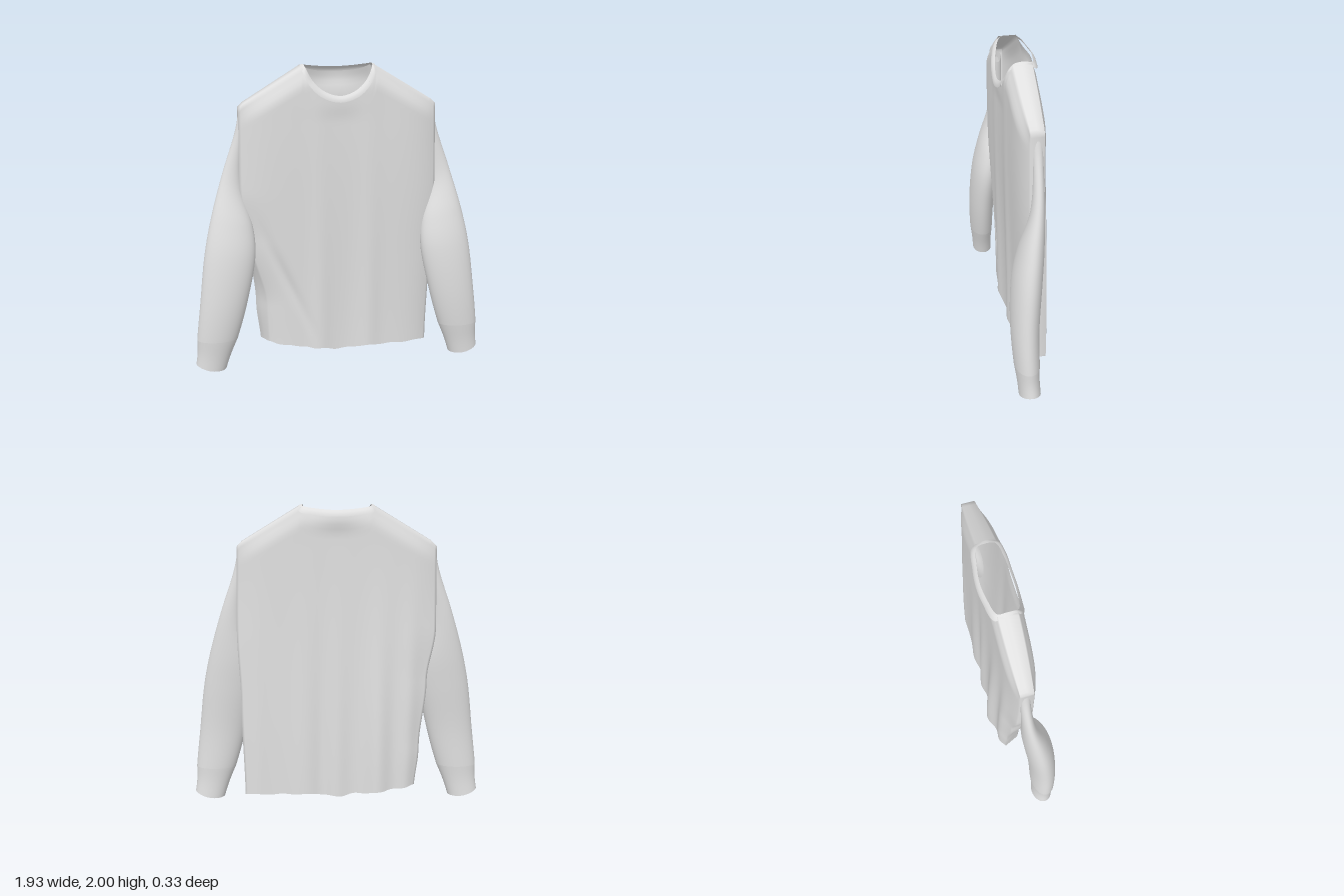
import * as THREE from 'three';
import { mergeGeometries, mergeVertices } from 'three/addons/utils/BufferGeometryUtils.js';

const V = (x, y, z) => new THREE.Vector3(x, y, z);
const { lerp, smoothstep, clamp } = THREE.MathUtils;
const bump = (x, c, w) => Math.exp(-(((x - c) / w) ** 2));

// Grid surface: f(s, t) with s, t in 0..1; the front faces along ds x dt
function grid(ns, nt, f) {
  const pos = [], idx = [];
  for (let j = 0; j <= nt; j++)
    for (let i = 0; i <= ns; i++) pos.push(...f(i / ns, j / nt).toArray());
  for (let j = 0; j < nt; j++)
    for (let i = 0; i < ns; i++) {
      const a = j * (ns + 1) + i, b = a + 1, c = a + ns + 1, d = c + 1;
      idx.push(a, b, d, a, d, c);
    }
  const g = new THREE.BufferGeometry();
  g.setAttribute('position', new THREE.Float32BufferAttribute(pos, 3));
  g.setIndex(idx);
  return g;
}

function weld(parts) {
  const g = mergeVertices(mergeGeometries(parts), 1e-4);
  g.computeVertexNormals();
  return g;
}

// Piecewise smooth lookup through [key, value] pairs
function lookup(table, k) {
  for (let i = 1; i < table.length; i++) {
    const [k0, v0] = table[i - 1], [k1, v1] = table[i];
    if (k <= k1) return lerp(v0, v1, smoothstep(k, k0, k1));
  }
  return table[table.length - 1][1];
}

const HALF = 0.64, NECK = 0.235, NU = NECK / HALF;
const leftWidth = [[0.08, 0.615], [0.7, 0.63], [1.2, 0.65], [1.74, 0.64]];
const rightFrontWidth = [[0.08, 0.475], [0.4, 0.485], [0.85, 0.58], [1.2, 0.645], [1.74, 0.64]];
const rightBackWidth = [[0.08, 0.515], [0.4, 0.545], [0.85, 0.59], [1.2, 0.645], [1.74, 0.64]];
const hemLine = [[-0.64, 0.14], [-0.45, 0.12], [-0.2, 0.095], [0, 0.075], [0.2, 0.09], [0.64, 0.085]];

// Columns are placed so that one falls exactly on each end of the neckline
function column(s) {
  const c = s * 2 - 1, a = Math.abs(c), n = 16 / 44;
  return Math.sign(c) * (a <= n ? (a / n) * NU : NU + ((a - n) / (1 - n)) * (1 - NU));
}
const shoulderY = x => 2 - 0.255 * clamp((Math.abs(x) - 0.22) / 0.42, 0, 1)
  - 0.012 * smoothstep(Math.abs(x), 0.61, 0.64);

// One point on the front (side = 1) or back (side = -1) panel
function panel(side, u, t) {
  const xt = u * HALF, n = Math.abs(xt) / NECK;
  let top = shoulderY(xt);
  if (n < 0.999) top = side > 0 ? 1.775 + 0.21 * n ** 2.6 : 1.942 + 0.045 * n ** 3;
  const hem = lookup(hemLine, xt) + 0.003 * Math.sin(xt * 37) - (side < 0 ? 0.008 : 0);
  const y = lerp(hem, top, t);
  const x = u * lookup(u > 0 ? leftWidth : side > 0 ? rightFrontWidth : rightBackWidth, y);
  const low = 1 - smoothstep(y, 0.1, 1.6);
  const fold = 1 - smoothstep(y, 0.2, 1.75);
  const k = (1 - Math.abs(u) ** 6) * smoothstep(shoulderY(xt) - y, -0.03, 0.13);
  // the edges draw together towards the shoulder point
  const pinch = smoothstep(Math.abs(xt), 0.25, 0.64) * smoothstep(y, 0.9, 1.5);
  const flare = bump(xt, 0, 0.14);
  if (side > 0) {
    const folds = 0.014 * bump(x, -0.13, 0.07) + 0.014 * bump(x, 0.2, 0.07) - 0.004 * bump(x, 0.05, 0.07);
    const crease = 0.018 * bump(x, -0.47 + (0.85 - y) * 0.45, 0.035) * bump(y, 0.6, 0.3);
    const edge = lerp(0.04, 0, low) - 0.012 * pinch;
    const full = 0.089 - 0.027 * low + folds * (0.3 + low) - crease;
    return V(x, y, lerp(edge, full, k) + 0.01 * flare * smoothstep(y, 1.64, 1.77));
  }
  const folds = 0.05 * bump(x, -0.48, 0.07) + 0.05 * bump(x, -0.27, 0.085) + 0.022 * bump(x, 0, 0.07)
    + 0.016 * bump(x, 0.22, 0.08) + 0.015 * bump(x, 0.54, 0.06) - 0.01 * bump(x, 0.1, 0.05);
  const edge = lerp(-0.065, -0.095, low) + 0.01 * pinch;
  const full = -0.1 - 0.015 * low - folds * fold;
  return V(x, y, lerp(edge, full, k) - 0.024 * flare * smoothstep(y, 1.8, 1.945));
}

function bodyGeometry() {
  const between = (u, t, f) => panel(1, u, t).lerp(panel(-1, u, t), f);
  const strip = (s0, s1) => grid(28, 2, (s, f) => between(column(lerp(s0, s1, s)), 1, f));
  const nl = 14 / 44;
  return weld([
    grid(88, 60, (s, t) => panel(1, column(s), t)),
    grid(88, 60, (s, t) => panel(-1, column(1 - s), t)),
    grid(2, 60, (f, t) => between(1, t, f)),
    grid(2, 60, (f, t) => between(-1, t, 1 - f)),
    // shoulder seams
    strip(0, nl), strip(1 - nl, 1),
  ]);
}

// Sleeve and cuff: rings spanned by an outer/front and an inner/back guide curve
const outer = new THREE.CatmullRomCurve3([
  V(0.632, 1.728, 0.012), V(0.662, 1.58, 0.012), V(0.752, 1.31, 0.035), V(0.835, 1.03, 0.11), V(0.885, 0.8, 0.152),
  V(0.925, 0.48, 0.17), V(0.955, 0.22, 0.16), V(0.967, 0.045, 0.138)]);
const inner = new THREE.CatmullRomCurve3([
  V(0.6, 1.66, -0.045), V(0.625, 1.45, -0.05), V(0.625, 1.2, -0.05), V(0.565, 0.96, -0.045), V(0.556, 0.78, -0.03),
  V(0.61, 0.5, -0.005), V(0.688, 0.22, 0.0), V(0.768, 0.006, 0.0)]);
function sleevePoint(sx, s, t, squeeze = 0, droop = 0) {
  const a = s * Math.PI * 2 * sx, o = outer.getPoint(t), i = inner.getPoint(t);
  const c = Math.cos(a) * (1 - squeeze), n = Math.sin(a) * (1 - squeeze);
  return V(sx * ((o.x + i.x) / 2 + ((o.x - i.x) / 2) * c),
    (o.y + i.y) / 2 + ((o.y - i.y) / 2) * c - droop * n * n,
    (o.z + i.z) / 2 + ((o.z - i.z) / 2) * n);
}

// Collar: a ribbon between two closed loops, given by their left halves
function loop(half) {
  const right = half.slice(1, -1).reverse().map(p => V(-p.x, p.y, p.z));
  return new THREE.CatmullRomCurve3([...half, ...right], true);
}
function collarGeometry() {
  const rim = loop([V(0, 1.808, 0.1), V(0.1, 1.838, 0.092), V(0.17, 1.9, 0.076), V(0.215, 1.985, 0.042),
    V(0.22, 2, -0.015), V(0.212, 1.99, -0.07), V(0.1, 1.975, -0.1), V(0, 1.97, -0.11)]);
  const base = loop([V(0, 1.768, 0.12), V(0.115, 1.8, 0.113), V(0.19, 1.868, 0.1), V(0.234, 1.955, 0.066),
    V(0.242, 1.992, -0.015), V(0.234, 1.955, -0.094), V(0.11, 1.935, -0.125), V(0, 1.93, -0.135)]);
  return weld([grid(96, 3, (s, t) => {
    const p = base.getPoint(s % 1).lerp(rim.getPoint(s % 1), t);
    p.z += Math.sign(p.z + 0.015) * 0.006 * Math.sin(Math.PI * t);
    return p;
  })]);
}

export function createModel() {
  const group = new THREE.Group();
  const cloth = new THREE.MeshStandardMaterial({ color: 0xe0e0e0, side: THREE.DoubleSide });
  cloth.name = 'lightGreyCloth';
  const add = (name, geometry) => {
    const mesh = new THREE.Mesh(geometry, cloth);
    mesh.name = name;
    group.add(mesh);
  };

  add('body', bodyGeometry());
  add('collar', collarGeometry());
  const cuffStart = 6 / 7;
  for (const [side, sx] of [['left', 1], ['right', -1]]) {
    add(side + 'Sleeve', weld([grid(40, 48, (s, t) => sleevePoint(sx, s, t * cuffStart))]));
    add(side + 'Cuff', weld([grid(40, 8, (s, t) =>
      sleevePoint(sx, s, lerp(cuffStart, 1, t), 0.05 * Math.sin(Math.PI * t), 0.014 * t))]));
  }
  return group;
}
